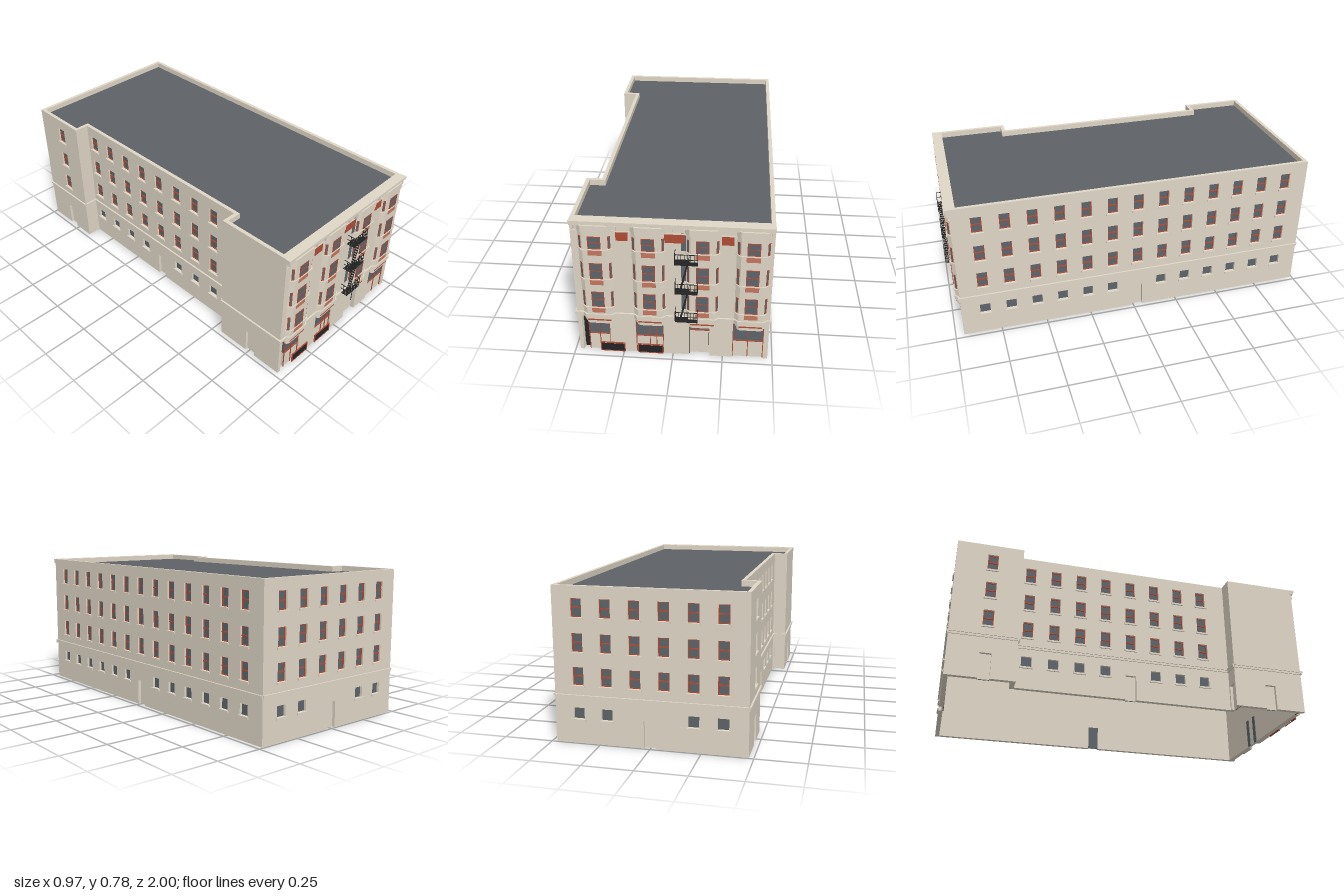
import * as THREE from 'three';
import { mergeGeometries } from 'three/addons/utils/BufferGeometryUtils.js';

const flat = (name, color) => new THREE.MeshStandardMaterial({ name, color });
const stone = flat('stone', 0xdfd6c6);
const roofGrey = flat('roofGrey', 0x5e6266);
const glass = flat('glass', 0x5d646a);
const red = flat('redPaint', 0xb04c36);
const terracotta = flat('terracotta', 0xc6765e);
const black = flat('blackIron', 0x242424);

const TOP = 0.777, ROOF = 0.747, FRONT = 0.955, BACK = -0.993, SIDE = 0.476, NOTCH = -0.396;
const ROWS = [[0.292, 0.383], [0.457, 0.549], [0.626, 0.717]];   // upper side windows
const BAY_ROWS = [[0.291, 0.38], [0.458, 0.547], [0.628, 0.696]];
const COLS = Array.from({ length: 13 }, (_, i) => 0.828 - i * 0.1412);

// Collects geometries by part name and merges each part into one mesh
function builder(group) {
  const bins = new Map();
  const add = (name, mat, geo) => {
    if (!bins.has(name)) bins.set(name, { mat, list: [] });
    bins.get(name).list.push(geo);
  };
  const box = (name, mat, x0, x1, y0, y1, z0, z1) => {
    const g = new THREE.BoxGeometry(x1 - x0, y1 - y0, z1 - z0);
    add(name, mat, g.translate((x0 + x1) / 2, (y0 + y1) / 2, (z0 + z1) / 2));
  };
  // Rectangular frame made of four bars
  const frame = (name, mat, x0, x1, y0, y1, z0, z1, w) => {
    box(name, mat, x0, x0 + w, y0, y1, z0, z1);
    box(name, mat, x1 - w, x1, y0, y1, z0, z1);
    box(name, mat, x0 + w, x1 - w, y0, y0 + w, z0, z1);
    box(name, mat, x0 + w, x1 - w, y1 - w, y1, z0, z1);
  };
  const flush = () => bins.forEach(({ mat, list }, name) => {
    const m = new THREE.Mesh(mergeGeometries(list), mat);
    m.name = name;
    group.add(m);
  });
  return { add, box, frame, flush };
}

// Wall with openings: notches reach the ground, holes are [u0, u1, v0, v1]
function wallMesh(u0, u1, notches, holes, t) {
  const s = new THREE.Shape();
  s.moveTo(u0, 0);
  [...notches].sort((a, b) => a[0] - b[0]).forEach(([a, b, h]) => {
    s.lineTo(a, 0); s.lineTo(a, h); s.lineTo(b, h); s.lineTo(b, 0);
  });
  s.lineTo(u1, 0); s.lineTo(u1, TOP); s.lineTo(u0, TOP);
  holes.forEach(([a, b, c, d]) => s.holes.push(new THREE.Path()
    .moveTo(a, c).lineTo(a, d).lineTo(b, d).lineTo(b, c)));
  const g = new THREE.ExtrudeGeometry(s, { depth: t, bevelEnabled: false });
  const m = new THREE.Mesh(g.translate(0, 0, -t), stone);
  m.name = 'wall';
  return m;
}

// Plain side or rear wall with recessed windows, sills, doors and a string course
function facade(name, u0, u1, cols, doors, groundCols) {
  const g = new THREE.Group();
  g.name = name;
  const b = builder(g), w = 0.0275, holes = [];
  const opening = (u, y0, y1, framed) => {
    holes.push([u - w, u + w, y0, y1]);
    b.box('windowGlass', glass, u - w, u + w, y0, y1, -0.017, -0.013);
    b.box('windowSills', stone, u - w - 0.007, u + w + 0.007, y0 - 0.01, y0, -0.005, 0.007);
    if (!framed) return;
    b.frame('windowFrames', red, u - w, u + w, y0, y1, -0.013, -0.009, 0.0045);
    const m = (y0 + y1) / 2;
    b.box('windowFrames', red, u - w, u + w, m - 0.003, m + 0.003, -0.013, -0.008);
  };
  cols.forEach(u => ROWS.forEach(([a, c]) => opening(u, a, c, true)));
  groundCols.forEach(u => opening(u, 0.123, 0.18, false));
  doors.forEach(u => {
    b.box('doors', stone, u - 0.03, u + 0.03, 0, 0.138, -0.02, -0.016);
    b.box('doorBacks', glass, u - 0.03, u + 0.03, 0, 0.138, -0.027, -0.023);
  });
  b.box('lining', stone, u0 + 0.01, u1 - 0.01, 0, 0.735, -0.023, -0.0195);
  b.box('stringCourse', stone, u0, u1, 0.224, 0.236, -0.005, 0.005);
  b.box('stringCourse', stone, u0, u1, 0.236, 0.245, -0.005, 0.009);
  g.add(wallMesh(u0, u1, doors.map(u => [u - 0.03, u + 0.03, 0.138]), holes, 0.02));
  b.flush();
  return g;
}

function place(g, x, z, turn) {
  g.position.set(x, 0, z);
  g.rotation.y = turn * Math.PI / 2;
  return g;
}

// Upright trapezoid prism for bays, caps and corbels
function prism(half, flatHalf, depth, y0, y1) {
  const s = new THREE.Shape([[-half, 0.01], [half, 0.01], [half, 0], [flatHalf, -depth], [-flatHalf, -depth], [-half, 0]]
    .map(([x, y]) => new THREE.Vector2(x, y)));
  const g = new THREE.ExtrudeGeometry(s, { depth: y1 - y0, bevelEnabled: false });
  return g.rotateX(-Math.PI / 2).translate(0, y0, 0);
}

function bay(cx) {
  const g = new THREE.Group();
  g.name = 'bayWindow';
  const b = builder(g), d = 0.018;
  b.add('bayBody', stone, prism(0.08, 0.058, d, 0.235, 0.72));
  b.add('bayCap', stone, prism(0.083, 0.061, d + 0.003, 0.72, 0.755));
  b.add('bayBand', stone, prism(0.087, 0.065, d + 0.005, 0.224, 0.245));
  for (let i = 0; i < 4; i++)
    b.add('bayCorbel', stone, prism(0.08 - i * 0.005, 0.061 - i * 0.003, d - i * 0.003, 0.213 - i * 0.011, 0.224 - i * 0.011));
  b.box('corbelStripe', red, -0.058, 0.058, 0.203, 0.21, d - 0.003, d - 0.001);
  const ang = Math.atan2(0.022, d);
  BAY_ROWS.forEach(([y0, y1]) => {
    const m = (y0 + y1) / 2;
    b.box('bayGlass', glass, -0.03, 0.03, y0, y1, d, d + 0.001);
    b.frame('bayFrames', red, -0.031, 0.031, y0, y1, d, d + 0.003, 0.004);
    b.box('bayFrames', red, -0.03, 0.03, m - 0.002, m + 0.002, d, d + 0.003);
    b.box('spandrelPanels', terracotta, -0.033, 0.033, y0 - 0.036, y0 - 0.006, d, d + 0.002);
    b.add('baySills', stone, prism(0.085, 0.063, d + 0.005, y0 - 0.007, y0 - 0.002));
    // Narrow windows on the slanted cheeks
    for (const s of [-1, 1])
      [[0.014, 0.0015, red, 'cheekFrames', 0], [0.007, 0.003, glass, 'cheekGlass', 0.005]].forEach(([w, t, mat, n, inset]) => {
        const c = new THREE.BoxGeometry(w, y1 - y0 - 2 * inset, t);
        b.add(n, mat, c.rotateY(s * (Math.PI / 2 - ang)).translate(s * 0.0692, m, d / 2));
      });
  });
  b.flush();
  g.position.set(cx, 0, 0);
  return g;
}

function fireEscape() {
  const g = new THREE.Group();
  g.name = 'fireEscape';
  const b = builder(g), x0 = 0.015, x1 = 0.125, z0 = 0.019, z1 = 0.045, r = 0.0025;
  const floors = [0.24, 0.408, 0.575];
  floors.forEach(y => {
    // Slatted floor
    for (let i = 0; i < 7; i++) b.box('platforms', black, x0, x1, y, y + 0.004, i * 0.0068, i * 0.0068 + 0.004);
    for (const h of [0.03, 0.058]) {
      b.box('railings', black, x0, x1, y + h, y + h + r, z1 - r, z1);
      for (const x of [x0, x1 - r]) b.box('railings', black, x, x + r, y + h, y + h + r, 0, z1);
    }
    for (let i = 0; i < 8; i++) {
      const x = x0 + (x1 - x0 - r) * i / 7;
      b.box('railings', black, x, x + r, y, y + 0.06, z1 - r, z1);
    }
    for (const x of [x0, x1 - r]) b.box('railings', black, x, x + r, y, y + 0.06, z0, z0 + r);
  });
  // Steep stairs between platforms
  floors.slice(0, 2).forEach(y => {
    const rise = 0.2, run = 0.045, len = Math.hypot(rise, run);
    for (const z of [0.024, 0.039]) {
      const s = new THREE.BoxGeometry(0.002, len, 0.002);
      b.add('stairs', black, s.rotateZ(-Math.atan2(run, rise)).translate(0.0605, y + rise / 2, z));
    }
    for (let i = 1; i < 14; i++) {
      const x = 0.038 + run * i / 14, ty = y + rise * i / 14;
      b.box('stairs', black, x - 0.004, x + 0.005, ty, ty + 0.003, 0.024, 0.039);
    }
  });
  b.flush();
  return g;
}

function frontFacade() {
  const g = new THREE.Group();
  g.name = 'frontFacade';
  const b = builder(g);
  const shops = [[-0.426, -0.316, [-0.37]], [-0.186, -0.046, [-0.116, -0.083]], [0.298, 0.452, [0.374]]];
  const notches = [[-0.457, -0.316, 0.215], [-0.186, -0.046, 0.215], [0.082, 0.184, 0.18], [0.298, 0.452, 0.215]];
  g.add(wallMesh(-SIDE, SIDE, notches, [], 0.035));
  b.box('lining', stone, -0.465, 0.465, 0, 0.735, -0.039, -0.0345);
  // Shopfronts
  shops.forEach(([a, c, bars]) => {
    b.box('shopBase', stone, a, c, 0, 0.1, -0.034, -0.01);
    b.box('shopGlass', glass, a, c, 0.1, 0.205, -0.03, -0.012);
    b.box('shopFrames', red, a, c, 0.203, 0.212, -0.012, -0.005);
    b.box('shopFrames', red, a, c, 0.099, 0.103, -0.012, -0.007);
    [a + 0.002, c - 0.002, ...bars].forEach(x => b.box('shopFrames', red, x - 0.002, x + 0.002, 0, 0.205, -0.012, -0.006));
  });
  // Dark side entrance and main door
  b.box('sideEntrance', black, -0.457, -0.426, 0, 0.215, -0.034, -0.028);
  b.box('mainDoor', stone, 0.082, 0.184, 0, 0.145, -0.034, -0.022);
  b.box('doorHandle', black, 0.178, 0.181, 0.05, 0.13, -0.022, -0.019);
  b.box('doorHandle', black, 0.082, 0.084, 0, 0.18, -0.022, -0.01);
  b.box('transom', glass, 0.082, 0.184, 0.145, 0.18, -0.034, -0.022);
  b.box('transomBar', red, 0.082, 0.184, 0.143, 0.148, -0.022, -0.018);
  [0.06, 0.142].forEach(x => b.box('doorBacks', glass, x - 0.015, x + 0.015, 0, 0.165, -0.043, -0.039));
  // Basement grilles
  [[-0.368, -0.243], [-0.178, -0.05]].forEach(([a, c]) => {
    b.box('basementGrilles', black, a + 0.003, c - 0.003, 0.004, 0.045, 0, 0.004);
    b.frame('grilleFrames', red, a, c, 0, 0.055, 0, 0.006, 0.004);
  });
  // Landing doors and red wall panels
  BAY_ROWS.forEach(([a]) => b.box('landingDoors', glass, 0.044, 0.067, a, a + 0.095, 0, 0.002));
  [[-0.262, -0.205], [-0.035, 0.06], [0.232, 0.29]].forEach(([a, c]) =>
    b.box('wallPanels', red, a, c, 0.67, 0.716, 0, 0.003));
  // Band, frieze, brackets and cornice
  b.box('stringCourse', stone, -0.485, 0.485, 0.224, 0.236, -0.005, 0.005);
  b.box('stringCourse', stone, -0.485, 0.485, 0.236, 0.245, -0.005, 0.009);
  b.box('frieze', stone, -SIDE, SIDE, 0.717, 0.722, 0, 0.004);
  [-0.46, -0.26, -0.195, 0, 0.06, 0.26, 0.32, 0.465].forEach(x =>
    b.box('brackets', stone, x - 0.004, x + 0.004, 0.73, 0.752, 0, 0.013));
  b.box('cornice', stone, -0.477, 0.477, 0.75, 0.757, -0.005, 0.012);
  b.box('cornice', stone, -0.477, 0.477, 0.757, 0.768, -0.005, 0.016);
  b.box('cornice', stone, -0.478, 0.478, 0.768, TOP + 0.0005, -0.005, 0.02);
  b.flush();
  [-0.362, -0.11, 0.146, 0.382].forEach(x => g.add(bay(x)));
  g.add(fireEscape());
  return g;
}

export function createModel() {
  const model = new THREE.Group();
  model.name = 'cornerBuilding';
  const n0 = -0.64, n1 = 0.55, door = -0.02;
  const noDoor = c => Math.abs(c - door) > 0.05;
  model.add(place(frontFacade(), 0, FRONT, 0));
  model.add(place(facade('rightFacade', -FRONT, -BACK, COLS.map(z => -z), [-door], COLS.filter(noDoor).map(z => -z)), SIDE, 0, 1));
  const rear = [-0.355, -0.213, -0.071, 0.071, 0.213, 0.355];
  model.add(place(facade('rearFacade', -SIDE, SIDE, rear, [0], rear.filter(x => Math.abs(x) > 0.1)), 0, BACK, 2));
  // Left side steps in along the middle
  const mid = COLS.filter(z => z > n0 && z < 0.5);
  model.add(place(facade('leftRearFacade', BACK, n0, [-0.8], [-0.8], []), -SIDE, 0, -1));
  model.add(place(facade('leftMiddleFacade', n0, n1, mid, [door], mid.filter(noDoor)), NOTCH, 0, -1));
  model.add(place(facade('leftFrontFacade', n1, FRONT, [], [0.76], []), -SIDE, 0, -1));
  model.add(place(facade('rearStep', -SIDE, NOTCH + 0.02, [], [], []), 0, n0, 0));
  model.add(place(facade('frontStep', -NOTCH - 0.02, SIDE, [], [0.436], []), 0, n1, 2));

  // Flat roof behind the parapet, with a stone ceiling below it
  const i = 0.01;
  const outline = [[-SIDE + i, FRONT - i], [SIDE - i, FRONT - i], [SIDE - i, BACK + i], [-SIDE + i, BACK + i],
    [-SIDE + i, n0 - i], [NOTCH + i, n0 - i], [NOTCH + i, n1 + i], [-SIDE + i, n1 + i]];
  const shape = new THREE.Shape(outline.map(([x, z]) => new THREE.Vector2(x, -z)));
  [['roof', roofGrey, ROOF - 0.006], ['ceiling', stone, ROOF - 0.012]].forEach(([name, mat, y]) => {
    const geo = new THREE.ExtrudeGeometry(shape, { depth: 0.006, bevelEnabled: false });
    const slab = new THREE.Mesh(geo.rotateX(-Math.PI / 2).translate(0, y, 0), mat);
    slab.name = name;
    model.add(slab);
  });
  return model;
}
